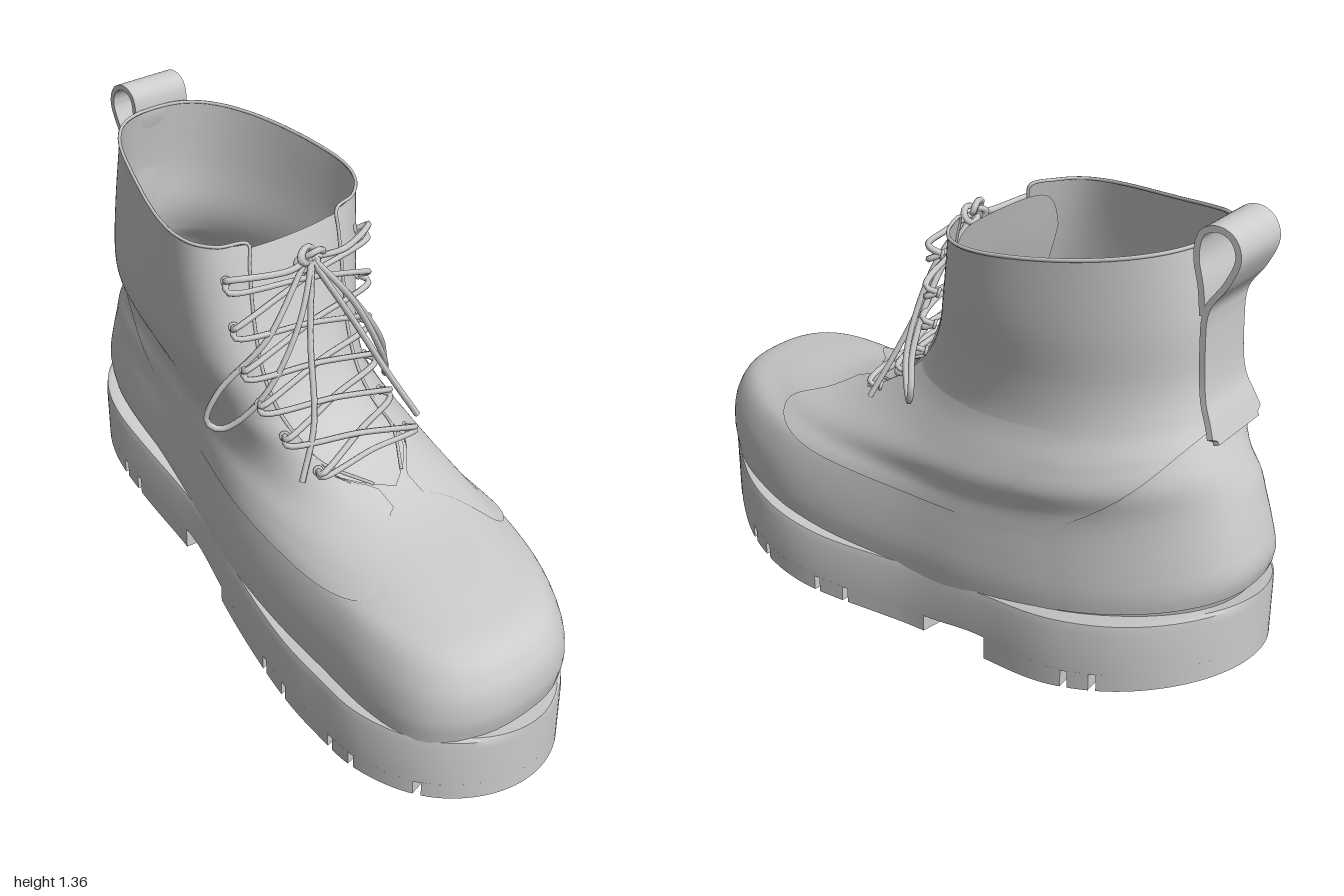
import * as THREE from 'three';
import { mergeVertices, toCreasedNormals } from 'three/addons/utils/BufferGeometryUtils.js';

const { lerp, clamp } = THREE.MathUtils;
const material = new THREE.MeshStandardMaterial({ color: 0xcccccc, side: THREE.DoubleSide });

// Smooth curve through [x, y] pairs with rising x
function table(p) {
  const slope = (i) => {
    const a = p[Math.max(i - 1, 0)], b = p[Math.min(i + 1, p.length - 1)];
    return (b[1] - a[1]) / (b[0] - a[0]);
  };
  return (x) => {
    x = clamp(x, p[0][0], p[p.length - 1][0]);
    let i = 0;
    while (i < p.length - 2 && x > p[i + 1][0]) i++;
    const h = p[i + 1][0] - p[i][0], t = (x - p[i][0]) / h, q = 1 - t;
    return (1 + 2 * t) * q * q * p[i][1] + t * q * q * h * slope(i)
      + t * t * (3 - 2 * t) * p[i + 1][1] - t * t * q * h * slope(i + 1);
  };
}

// Surface from a rule f(u, v) -> [x, y, z]
function grid(nu, nv, f, crease) {
  const pos = [], idx = [];
  for (let j = 0; j <= nv; j++) for (let i = 0; i <= nu; i++) pos.push(...f(i / nu, j / nv));
  for (let j = 0; j < nv; j++) for (let i = 0; i < nu; i++) {
    const a = j * (nu + 1) + i, d = a + nu + 1;
    idx.push(a, a + 1, d + 1, a, d + 1, d);
  }
  let g = new THREE.BufferGeometry();
  g.setAttribute('position', new THREE.Float32BufferAttribute(pos, 3));
  g.setIndex(idx);
  g = mergeVertices(g);
  if (crease) return toCreasedNormals(g, crease);
  g.computeVertexNormals();
  return g;
}

// Sole plan and heights along z
const centre = table([[-1, 0.12], [-0.6, 0.13], [-0.3, 0.09], [0, 0.025], [0.45, -0.04], [0.65, -0.09], [0.85, -0.14], [1, -0.15]]);
const fullness = table([[-1, 0.51], [-0.8, 0.45], [-0.6, 0.39], [-0.3, 0.325], [0, 0.332], [0.45, 0.425], [0.65, 0.47], [0.85, 0.49], [1, 0.52]]);
const halfWidth = (z) => fullness(z) * Math.sqrt(Math.max(0, 1 - z * z));
const soleTop = table([[-1, 0.4], [-0.6, 0.32], [-0.2, 0.25], [0.1, 0.212], [0.35, 0.2], [1, 0.235]]);
const soleBase = table([[-1, 0.26], [-0.6, 0.165], [-0.3, 0.13], [-0.1, 0.085], [0.4, 0.045], [1, 0.085]]);
const tread = table([[-1, 0.21], [-0.6, 0.115], [-0.35, 0.07], [-0.1, 0.035], [0.1, 0.015], [0.4, 0], [0.7, 0.02], [1, 0.04]]);
const across = (z, f) => centre(z) + halfWidth(z) * (2 * f - 1);

// Upper rings, welt to collar: backZ, frontZ, backY, sideY, frontY, back/side/front width, shift, throat angle
const rings = [
  [-0.96, 0.96, 0.39, 0.2, 0.22, 0.37, 0.325, 0.5, 0, 0],
  [-0.985, 0.975, 0.47, 0.28, 0.3, 0.37, 0.328, 0.5, 0, 0],
  [-0.97, 0.96, 0.55, 0.36, 0.385, 0.36, 0.32, 0.48, 0, 0],
  [-0.95, 0.9, 0.62, 0.44, 0.455, 0.345, 0.305, 0.43, 0, 0],
  [-0.93, 0.75, 0.68, 0.5, 0.488, 0.335, 0.29, 0.35, 0, 0],
  [-0.9, 0.48, 0.74, 0.58, 0.53, 0.32, 0.285, 0.3, 0.01, 0.4],
  [-0.87, 0.28, 0.8, 0.66, 0.61, 0.31, 0.28, 0.29, -0.01, 0.4],
  [-0.85, 0.14, 0.86, 0.76, 0.72, 0.3, 0.282, 0.32, -0.05, 0.4],
  [-0.83, 0.06, 0.95, 0.88, 0.85, 0.29, 0.292, 0.37, -0.068, 0.36],
  [-0.82, 0, 1.1, 1.04, 1.01, 0.28, 0.3, 0.42, -0.06, 0.32],
  [-0.79, -0.05, 1.29, 1.228, 1.19, 0.28, 0.3, 0.45, -0.05, 0.28],
];
const ringValue = rings[0].map((_, k) => table(rings.map((r, i) => [i, r[k]])));
const quad = (b, m, f, s) => m + (f - b) / 2 * s + ((f + b) / 2 - m) * s * s;
const throat = (v) => ringValue[9](v) * clamp((v - 5.6) / 0.35, 0, 1);

// Point on the upper: v is the ring number, a the angle from the front centre
function upperPoint(v, a, grow = 0) {
  const [zb, zf, yb, ym, yf, wb, wm, wf, dx] = ringValue.map((t) => t(v));
  const s = Math.cos(a), n = Math.sin(a);
  const z = lerp(zb, zf, (s + 1) / 2);
  const w = quad(wb, wm, wf, s) * Math.abs(n) ** 0.8 * Math.sign(n);
  return [centre(z) + dx + w + grow * n, quad(yb, ym, yf, s), z + grow * s];
}
const vec = (p) => new THREE.Vector3(...p);

export function createModel() {
  const model = new THREE.Group();
  model.name = 'boot';
  const add = (name, geometry, parent = model) => {
    const mesh = new THREE.Mesh(geometry, material);
    mesh.name = name;
    parent.add(mesh);
    return mesh;
  };
  const group = (name) => {
    const g = new THREE.Group();
    g.name = name;
    model.add(g);
    return g;
  };
  const cord = (name, pts, parent, r = 0.009, closed = false) =>
    add(name, new THREE.TubeGeometry(new THREE.CatmullRomCurve3(pts.map(vec), closed), pts.length * 8, r, 6, closed), parent);

  // Midsole: rounded section swept from heel to toe
  const section = [[0, 0, 0], [1, 0, 0], [1, 1, -0.03], [0.99, 1, -0.008], [0.95, 1, 0], [0.05, 1, 0], [0.01, 1, -0.008], [0, 1, -0.03], [0, 0, 0]];
  add('midsole', grid(8, 90, (u, v) => {
    const z = -Math.cos(v * Math.PI), [f, k, dy] = section[Math.round(u * 8)];
    return [across(z, f), lerp(soleBase(z), soleTop(z), k) + dy, z];
  }, 0.7));

  // Tread lugs: chevron blocks between the grooves, with solid toe and heel tips
  const lugs = group('treadLugs');
  const lug = (z0, z1, f0, f1, skew) => {
    const corners = [[f0, 0], [f1, 0], [f1, 1], [f0, 1], [f0, 0]];
    add('lug', grid(4, 18, (u, v) => {
      const t = clamp((v * 18 - 1) / 16, 0, 1), end = v === 0 || v === 1;
      const [f, k] = end ? [(f0 + f1) / 2, 0.5] : corners[Math.round(u * 4)];
      const z = lerp(z0, z1, (1 - Math.cos(t * Math.PI)) / 2) + skew * Math.min(f, 1 - f);
      return [across(z, f), lerp(tread(z), soleBase(z) + 0.003, k), z];
    }, 0.5), lugs);
  };
  const strips = [[0, 0.29], [0.33, 0.485], [0.515, 0.67], [0.71, 1]];
  const foreBlocks = [[-0.1, 0.19], [0.21, 0.3], [0.32, 0.54], [0.56, 0.63], [0.65, 0.83], [0.85, 0.93]];
  const heelBlocks = [[-0.93, -0.71], [-0.69, -0.63], [-0.61, -0.34]];
  for (const [f0, f1] of strips) {
    foreBlocks.forEach(([a, b]) => lug(a, b, f0, f1, -0.12));
    heelBlocks.forEach(([a, b]) => lug(a, b, f0, f1, 0.06));
  }
  lug(0.9, 0.9995, 0, 1, 0);
  lug(-0.9995, -0.9, 0, 1, 0);

  // Upper: one skin around the foot and ankle, open at the throat
  const aroundUpper = (v, u) => lerp(throat(v), 2 * Math.PI - throat(v), u);
  add('upper', grid(96, 90, (u, v) => upperPoint(v * 10, aroundUpper(v * 10, u))));

  // Heel counter panel with a curved top edge
  add('heelCounter', grid(32, 20, (u, v) => {
    const t = u * 2 - 1;
    return upperPoint(lerp(0.4, 6.8 - 3.5 * t * t, v), Math.PI + t, 0.012 * (1 - t ** 4));
  }));

  // Quarter panels lapping over the vamp on both sides
  for (const side of [1, -1]) {
    add('quarterPanel', grid(28, 16, (u, v) => {
      const t = side > 0 ? u : 1 - u, a = lerp(0.12, 1.9, t), drop = Math.min(a / 1.2, 1);
      const ring = lerp(5.4 - 2.4 * drop * drop * (3 - 2 * drop), 7, v);
      return upperPoint(ring, side * Math.max(a, throat(ring)), 0.01 * (1 - t ** 4) * (1 - v ** 4));
    }));
  }

  // Rolled edge along throat and collar
  const rim = [];
  for (let v = 5.7; v < 9.9; v += 0.5) rim.push(upperPoint(v, throat(v)));
  for (let i = 0; i <= 24; i++) rim.push(upperPoint(10, aroundUpper(10, i / 24)));
  for (let v = 9.7; v > 5.6; v -= 0.5) rim.push(upperPoint(v, -throat(v)));
  cord('collarEdge', rim, model, 0.005);

  // Tongue behind the throat, with rounded top corners
  add('tongue', grid(24, 40, (u, v) => {
    const t = u * 2 - 1;
    const [x, y, z] = upperPoint(lerp(5.2, 9.95 - 0.6 * t ** 6, v), t * 0.55);
    return [x, y - 0.014, z - 0.025];
  }));

  // Floor and footbed inside
  const floor = (name, size, lift) => add(name, grid(48, 8, (u, v) => {
    const [x, y, z] = upperPoint(1, -u * 2 * Math.PI);
    const zz = lerp(-0.1, z, v * size), c = centre(zz);
    return [c + (x - centre(z)) * v * size, lerp(0.3, y, v * size) + lift, zz];
  }));
  floor('insole', 0.98, 0);
  floor('footbed', 0.55, 0.012);

  // Pull tab: strap up the heel ending in a loop
  const strap = new THREE.CatmullRomCurve3([
    [0, 0.81, -0.888], [0, 0.86, -0.868], [0, 0.92, -0.843], [0, 1.05, -0.83], [0, 1.15, -0.835], [0, 1.22, -0.88],
    [0, 1.29, -0.907], [0, 1.335, -0.89], [0, 1.352, -0.85], [0, 1.335, -0.81], [0, 1.28, -0.798], [0, 1.2, -0.815], [0, 1.13, -0.824],
  ].map(vec));
  const strapSection = [[-1, -1], [-1, 1], [1, 1], [1, -1], [-1, -1]];
  add('pullTab', grid(4, 60, (u, v) => {
    const p = strap.getPoint(v), d = strap.getTangent(v), [k, n] = strapSection[Math.round(u * 4)];
    const w = v < 0.02 ? 0.1 : lerp(0.125, 0.095, clamp(v / 0.2, 0, 1));
    return [0.11 + k * w, p.y + n * d.z * 0.008, p.z - n * d.y * 0.008];
  }, 0.6));

  // Eyelets and loose criss-cross laces, wider towards the top
  const laces = group('laces');
  const rowCount = 6;
  const eyelet = (i, side) => {
    const t = i / (rowCount - 1), v = lerp(6, 9.5, t);
    const [x, y, z] = upperPoint(v, side * (throat(v) + lerp(0.1, 0.2, t)), 0.012);
    return [x, y + 0.008, z];
  };
  const span = (p, q, bulge) => {
    const mid = p.map((c, k) => (c + q[k]) / 2);
    const out = (a, b) => [a[0] * 1.08, lerp(a[1], b[1], 0.12), a[2] + 0.03];
    cord('lace', [p, out(p, q), [mid[0], mid[1] + bulge * 0.4, mid[2] + bulge], out(q, p), q], laces);
  };
  span(eyelet(0, 1), eyelet(0, -1), 0.04);
  for (let i = 0; i < rowCount; i++) for (const side of [1, -1]) {
    const ring = add('eyelet', new THREE.TorusGeometry(0.01, 0.005, 6, 12), laces);
    ring.position.set(...eyelet(i, side));
    ring.rotation.set(-0.4, side * 0.6, 0);
    if (i < rowCount - 1) span(eyelet(i, side), eyelet(i + 1, -side), side > 0 ? 0.06 : 0.042);
  }

  // Bow: knot, two hanging loops and two loose ends
  const bow = group('bow');
  const knot = add('knot', new THREE.TorusKnotGeometry(0.022, 0.009, 48, 6), bow);
  knot.position.set(-0.03, 1.135, 0.02);
  knot.scale.x = 1.4;
  for (const side of [1, -1]) {
    const top = eyelet(rowCount - 1, side);
    cord('topLace', [top, [top[0] * 1.08, top[1] + 0.02, top[2] + 0.03], [side * 0.1, 1.12, 0.02], [-0.03, 1.135, 0.02]], bow);
  }
  cord('rightLoop', [[-0.03, 1.14, 0.02], [-0.19, 0.95, 0.03], [-0.31, 0.8, -0.04], [-0.335, 0.71, -0.06],
    [-0.31, 0.69, -0.03], [-0.23, 0.79, 0.05], [-0.11, 0.99, 0.07]], bow, 0.009, true);
  cord('leftLoop', [[-0.03, 1.14, 0.02], [0.1, 0.98, 0.05], [0.22, 0.81, 0.04], [0.27, 0.71, 0.01],
    [0.255, 0.67, 0.03], [0.19, 0.77, 0.09], [0.07, 1, 0.08]], bow, 0.009, true);
  cord('rightEnd', [[-0.03, 1.13, 0.03], [-0.09, 0.94, 0.09], [-0.15, 0.73, 0.17], [-0.22, 0.59, 0.2]], bow);
  cord('leftEnd', [[-0.03, 1.13, 0.03], [0.06, 0.95, 0.09], [0.15, 0.76, 0.15], [0.22, 0.62, 0.2]], bow);

  return model;
}
